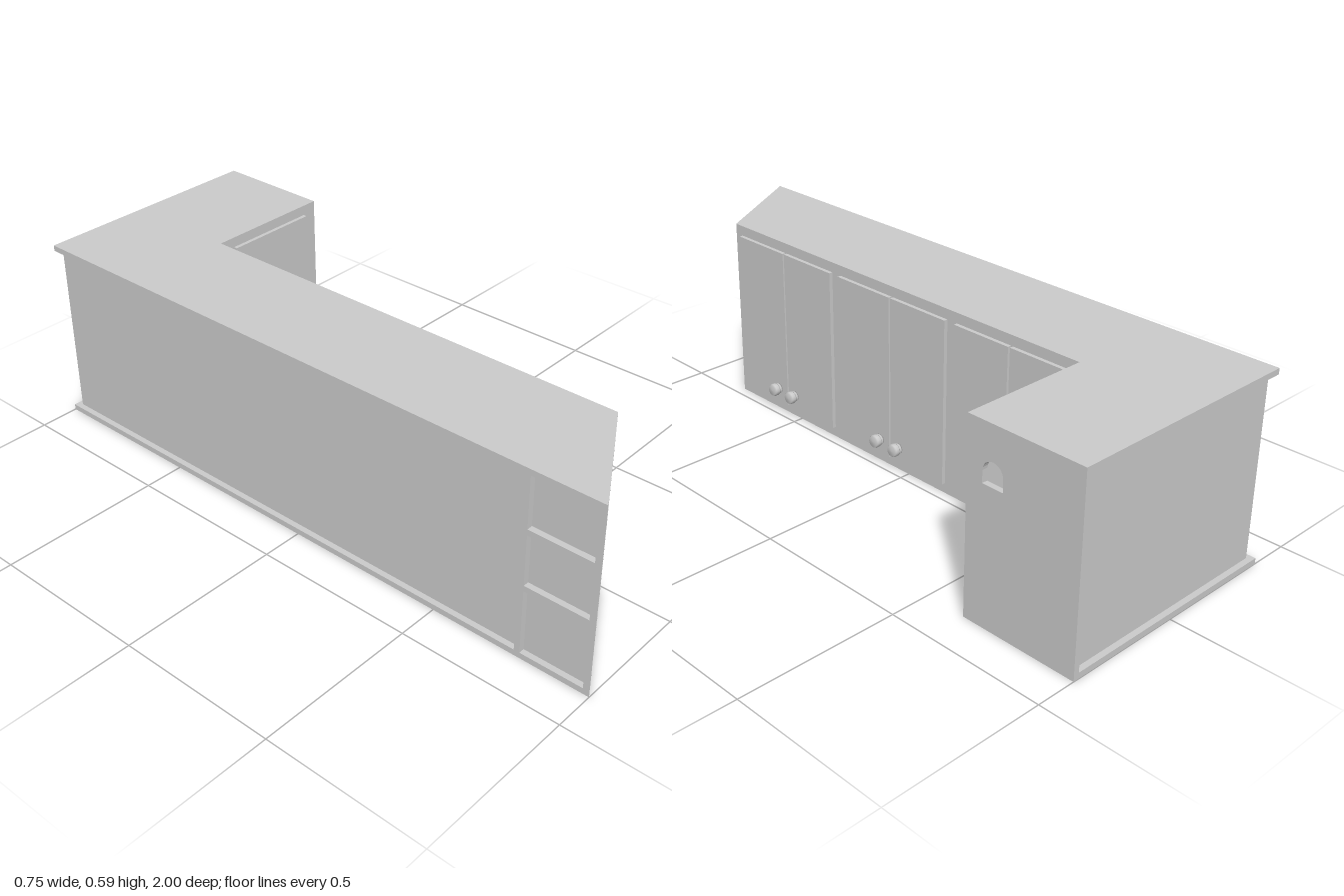
import * as THREE from 'three';

const H = 0.587, T = 0.018;              // overall height, board thickness
const LEFT = -0.375, FRONT = -0.033;     // long run: back side and door side
const LEG = -0.63;                       // door side of the short leg

const mat = new THREE.MeshStandardMaterial({ color: 0xcccccc });

// z of the slanted open end at a given x
const slant = (x) => 1 - (0.2 * (x - LEFT)) / (FRONT - LEFT);

function add(group, name, geometry) {
  const mesh = new THREE.Mesh(geometry, mat);
  mesh.name = name;
  group.add(mesh);
  return mesh;
}

// Box given by its limits on each axis
function box(group, name, x0, x1, y0, y1, z0, z1) {
  const g = new THREE.BoxGeometry(x1 - x0, y1 - y0, z1 - z0);
  g.translate((x0 + x1) / 2, (y0 + y1) / 2, (z0 + z1) / 2);
  return add(group, name, g);
}

// Board with a plan outline of [x, z] points between two heights
function slab(group, name, plan, y0, y1) {
  const shape = new THREE.Shape(plan.map(([x, z]) => new THREE.Vector2(x, -z)));
  const g = new THREE.ExtrudeGeometry(shape, { depth: y1 - y0, bevelEnabled: false });
  g.rotateX(-Math.PI / 2).translate(0, y0, 0);
  return add(group, name, g);
}

// Upright board with a round-topped opening; u is the horizontal axis
function archedBoard(u0, u1, y0, y1, center, sill, height, r) {
  const shape = new THREE.Shape();
  shape.moveTo(u0, y0);
  shape.lineTo(u1, y0);
  shape.lineTo(u1, y1);
  shape.lineTo(u0, y1);
  shape.closePath();
  const hole = new THREE.Path();
  hole.moveTo(center - r, sill);
  hole.lineTo(center + r, sill);
  hole.absarc(center, sill + height - r, r, 0, Math.PI, false);
  hole.closePath();
  shape.holes.push(hole);
  return new THREE.ExtrudeGeometry(shape, { depth: T, bevelEnabled: false, curveSegments: 6 });
}

// Turned knob, its base at the origin and pointing along +y
function knobGeometry() {
  const profile = [[0, 0], [0.017, 0], [0.017, 0.004], [0.011, 0.005], [0.011, 0.009],
    [0.018, 0.01], [0.02, 0.013], [0.02, 0.025], [0.017, 0.03], [0, 0.031]];
  const g = new THREE.LatheGeometry(profile.map(([r, y]) => new THREE.Vector2(r, y)), 12);
  return g;
}

export function createModel() {
  const model = new THREE.Group();
  model.name = 'cornerCabinet';

  // Top and bottom boards share the L-shaped plan with a slanted end
  const plan = [[LEFT, -1], [0.375, -1], [0.375, LEG], [FRONT, LEG], [FRONT, 0.8], [LEFT, 1]];
  slab(model, 'bottomBoard', plan, 0, T);
  slab(model, 'topBoard', plan, H - T, H);

  // Thin back panels, set in from the edges of the boards
  box(model, 'backPanel', LEFT + T, 0.36, T, H - T, -1 + T, -1 + T + 0.006);
  box(model, 'longBackPanel', LEFT + T, LEFT + T + 0.006, T, H - T, -1 + T, 0.985);

  // Front panels behind the doors
  box(model, 'longFrontPanel', FRONT - T, FRONT, T, H - T, LEG - T, 0.785);
  box(model, 'legFrontPanel', FRONT - T, 0.375 - T, T, H - T, LEG - T, LEG);

  // Side of the short leg, with a small arched opening
  const side = archedBoard(-LEG, 1, T, H - T, 0.717, 0.415, 0.07, 0.034);
  side.rotateY(Math.PI / 2).translate(0.375 - T, 0, 0);
  add(model, 'legSidePanel', side);

  // Divider at the back of the open shelves, with an arched opening at the floor
  const divider = archedBoard(LEFT, FRONT - 0.001, 0.004, H - 0.004, -0.298, T + 0.001, 0.074, 0.032);
  divider.translate(0, 0, 0.785 - T);
  add(model, 'shelfDivider', divider);

  // Open shelves and the two posts along the slanted end
  const openShelves = new THREE.Group();
  openShelves.name = 'openShelves';
  model.add(openShelves);
  const shelfPlan = [[LEFT, 0.78], [FRONT, 0.78], [FRONT, 0.8], [LEFT, 1]];
  for (const y of [0.219, 0.393]) slab(openShelves, 'shelf', shelfPlan, y, y + T);
  for (const [x0, x1] of [[LEFT, LEFT + 0.016], [FRONT - 0.015, FRONT]]) {
    const post = [[x0, slant(x0) - 0.02], [x1, slant(x1) - 0.02], [x1, slant(x1)], [x0, slant(x0)]];
    slab(openShelves, 'post', post, T, H - T);
  }

  // Three pairs of doors on the long run: z limits and knob position
  const doors = [
    [0.554, 0.769, 0.597], [0.333, 0.548, 0.516],
    [0.073, 0.296, 0.113], [-0.154, 0.067, 0.032],
    [-0.394, -0.191, -0.355], [-0.597, -0.401, -0.435],
  ];
  const knob = knobGeometry();
  for (const [z0, z1, kz] of doors) {
    box(model, 'door', FRONT, -0.021, 0.033, 0.555, z0, z1);
    const k = add(model, 'knob', knob);
    k.rotation.z = -Math.PI / 2;
    k.position.set(-0.021, 0.08, kz);
  }

  // Single door on the short leg
  box(model, 'legDoor', 0.02, 0.327, 0.033, 0.555, LEG, LEG + 0.012);
  const legKnob = add(model, 'legKnob', knob);
  legKnob.rotation.x = Math.PI / 2;
  legKnob.position.set(0.285, 0.069, LEG + 0.012);

  return model;
}
